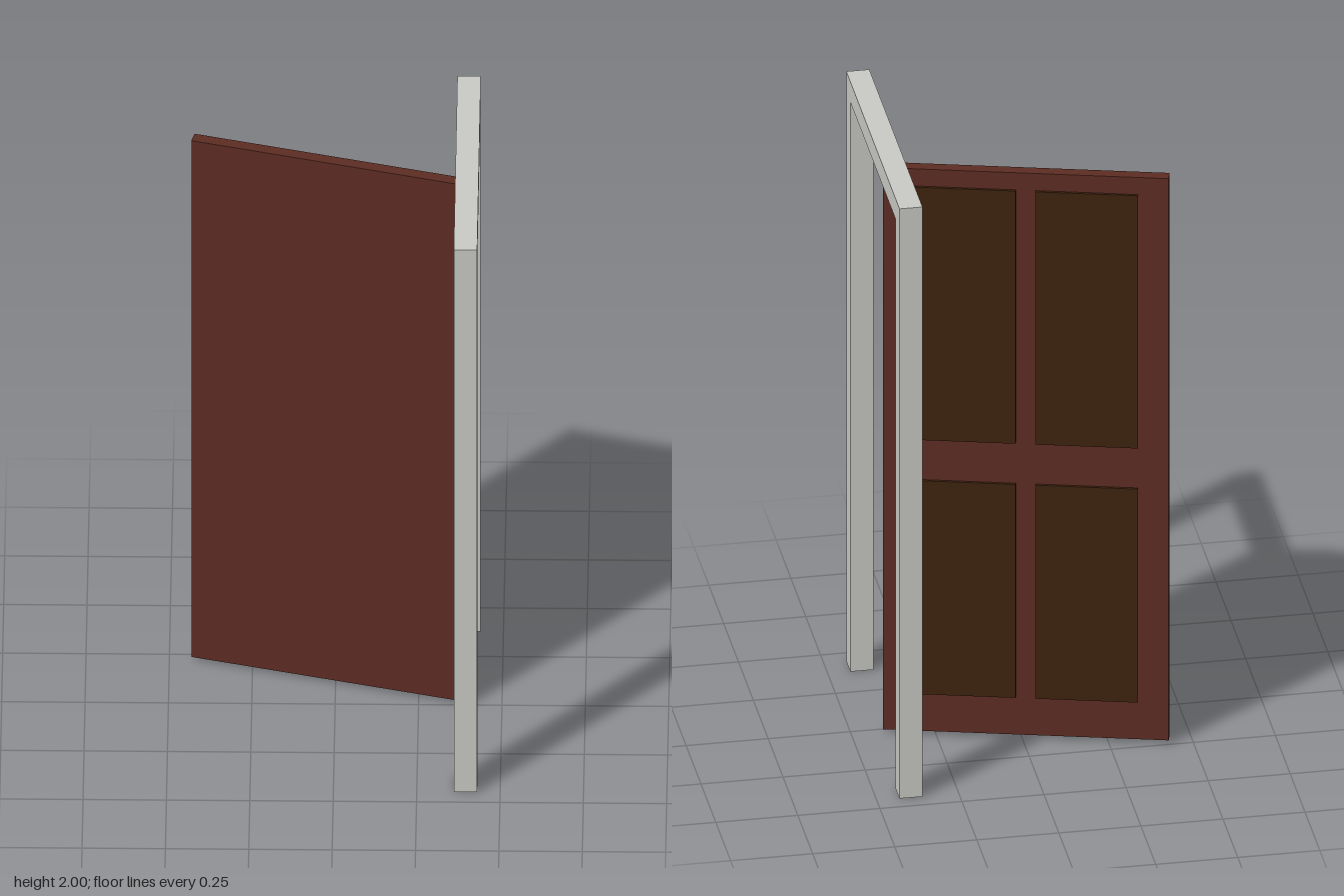
import * as THREE from 'three';

export function createModel() {
  const model = new THREE.Group();
  model.name = 'openDoor';

  const mat = (name, color) => {
    const m = new THREE.MeshStandardMaterial({ color });
    m.name = name;
    return m;
  };
  const frameGrey = mat('frameGrey', 0xc9c9c4);
  const doorBrown = mat('doorBrown', 0x5c2c23);
  const panelBrown = mat('panelBrown', 0x3e220f);
  const brass = mat('brass', 0xb7924a);

  const add = (parent, name, geometry, material, x, y, z) => {
    const mesh = new THREE.Mesh(geometry, material);
    mesh.name = name;
    mesh.position.set(x, y, z);
    parent.add(mesh);
    return mesh;
  };

  // Door frame: one open-bottomed outline in the z-y plane, given depth along x
  const half = 0.448, bar = 0.069, height = 2, depth = 0.07;
  const outline = new THREE.Shape([
    [-half, 0], [-half + bar, 0], [-half + bar, height - bar], [half - bar, height - bar],
    [half - bar, 0], [half, 0], [half, height], [-half, height],
  ].map(([x, y]) => new THREE.Vector2(x, y)));
  const frameGeometry = new THREE.ExtrudeGeometry(outline, { depth, bevelEnabled: false });
  frameGeometry.translate(0, 0, -depth / 2);
  add(model, 'doorFrame', frameGeometry, frameGrey, 0.396, 0, 0).rotation.y = Math.PI / 2;

  // Door leaf, swung through the frame
  const door = new THREE.Group();
  door.name = 'door';
  door.position.set(-0.014, 0, -0.123);
  door.rotation.y = -Math.PI / 12;
  model.add(door);

  const thick = 0.037;
  const bottom = 0.015, top = 1.92;
  add(door, 'doorLeaf', new THREE.BoxGeometry(0.86, top - bottom, thick), doorBrown,
    0, (top + bottom) / 2, 0);

  // Four raised panels on the back face
  const panelWidth = 0.308, panelDepth = 0.008;
  for (const [row, low, high] of [['lower', 0.143, 0.867], ['upper', 1.005, 1.862]]) {
    for (const [side, sign] of [['Right', -1], ['Left', 1]]) {
      add(door, row + side + 'Panel', new THREE.BoxGeometry(panelWidth, high - low, panelDepth),
        panelBrown, sign * 0.184, (low + high) / 2, -thick / 2 - panelDepth / 2);
    }
  }

  // Upright cylindrical knob
  add(model, 'knob', new THREE.CylinderGeometry(0.021, 0.021, 0.043, 24), brass, 0.327, 0.913, -0.079);

  return model;
}
